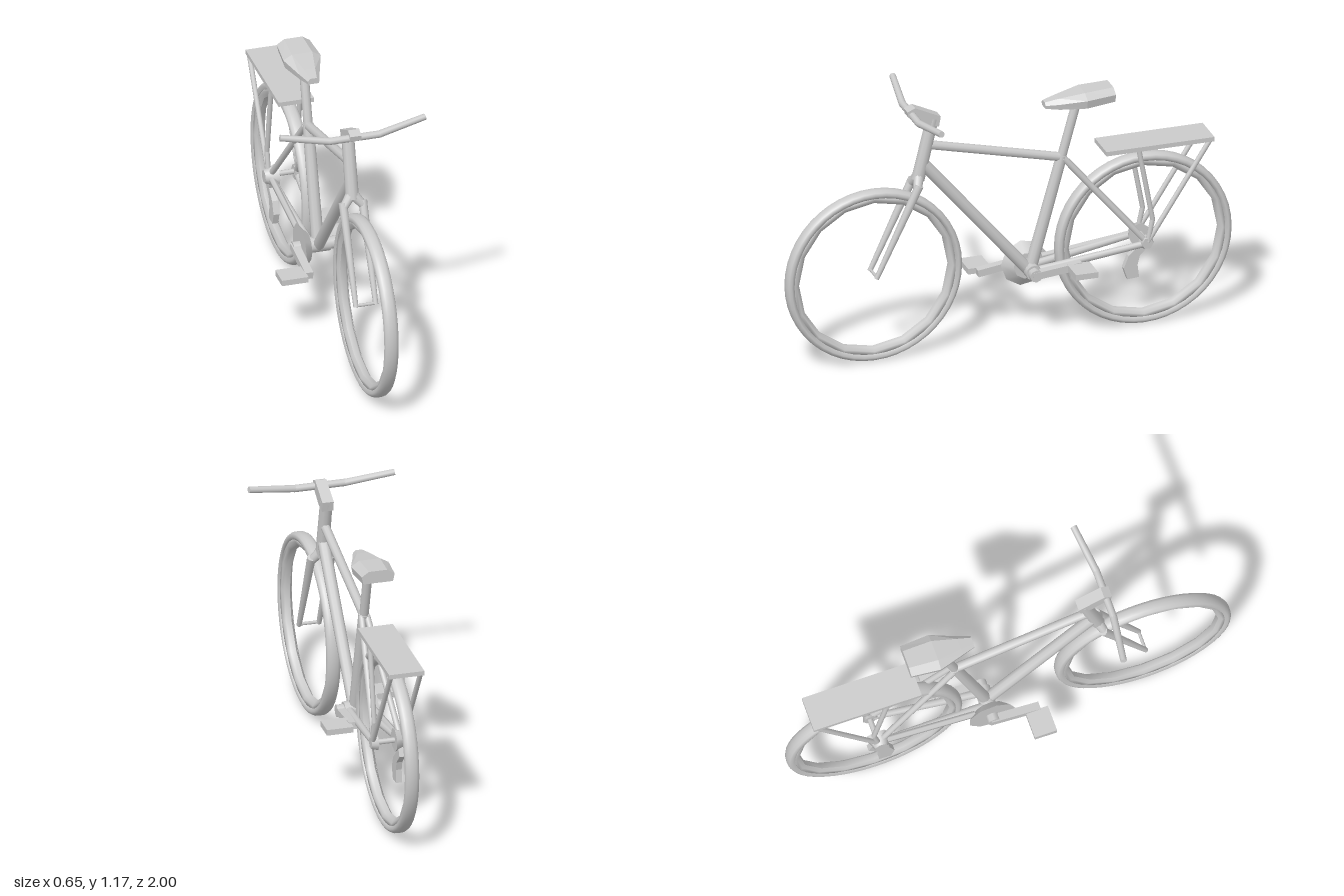
import * as THREE from 'three';

const material = new THREE.MeshStandardMaterial({ color: 0xcccccc });
const flatMaterial = new THREE.MeshStandardMaterial({ color: 0xcccccc, flatShading: true });

export function createModel() {
  const bike = new THREE.Group();
  bike.name = 'bicycle';

  const add = (name, geometry, mat = material) => {
    const mesh = new THREE.Mesh(geometry, mat);
    mesh.name = name;
    bike.add(mesh);
    return mesh;
  };

  // Straight, optionally tapered tube between two points
  const tube = (name, from, to, r1, r2 = r1, sides = 10) => {
    const a = new THREE.Vector3(...from), b = new THREE.Vector3(...to);
    const dir = b.clone().sub(a);
    const mesh = add(name, new THREE.CylinderGeometry(r2, r1, dir.length(), sides));
    mesh.position.copy(a).add(b).multiplyScalar(0.5);
    mesh.quaternion.setFromUnitVectors(new THREE.Vector3(0, 1, 0), dir.normalize());
    return mesh;
  };

  const box = (name, size, position, tilt = 0) => {
    const mesh = add(name, new THREE.BoxGeometry(...size), flatMaterial);
    mesh.position.set(...position);
    mesh.rotation.x = tilt;
    return mesh;
  };

  // Flat plate drawn in (z, y), extruded in x and centred on the given x
  const plate = (name, points, x, depth) => {
    const shape = new THREE.Shape(points.map(p => new THREE.Vector2(...p)));
    const geometry = new THREE.ExtrudeGeometry(shape, { depth, bevelEnabled: false });
    geometry.rotateY(-Math.PI / 2).translate(x + depth / 2, 0, 0);
    return add(name, geometry, flatMaterial);
  };

  // Wheels: rounded tyre and coarser rim, turned about the axle
  const ring = (name, profile, segments, z) => {
    const points = [...profile, profile[0]].map(p => new THREE.Vector2(...p));
    const geometry = new THREE.LatheGeometry(points, segments).rotateZ(-Math.PI / 2);
    add(name, geometry).position.set(0, 0.397, z);
  };
  const tyre = [[0.362, -0.026], [0.376, -0.032], [0.387, -0.027], [0.394, -0.015],
    [0.395, 0], [0.394, 0.015], [0.387, 0.027], [0.376, 0.032], [0.362, 0.026]];
  const rim = [[0.337, -0.012], [0.352, -0.022], [0.368, -0.024],
    [0.368, 0.024], [0.352, 0.022], [0.337, 0.012]];
  for (const [name, z] of [['front', 0.605], ['rear', -0.605]]) {
    ring(name + 'Tyre', tyre, 48, z);
    ring(name + 'Rim', rim, 16, z);
  }

  // Main frame
  tube('headTube', [0, 0.81, 0.405], [0, 1.09, 0.338], 0.029, 0.027);
  tube('topTube', [0, 0.965, 0.355], [0, 0.82, -0.245], 0.02);
  tube('downTube', [0, 0.885, 0.385], [0, 0.32, -0.09], 0.026);
  tube('seatTube', [0, 0.32, -0.1], [0, 0.83, -0.242], 0.027, 0.024);
  tube('seatPost', [0, 0.82, -0.24], [0, 1.085, -0.313], 0.02);
  tube('bottomBracket', [-0.05, 0.32, -0.1], [0.05, 0.32, -0.1], 0.035);

  // Paired fork legs, stays and rack struts
  for (const s of [-1, 1]) {
    tube('forkCrown', [0, 0.835, 0.4], [s * 0.044, 0.78, 0.422], 0.024, 0.018);
    tube('forkLeg', [s * 0.044, 0.8, 0.413], [s * 0.044, 0.395, 0.605], 0.019, 0.011);
    tube('seatStay', [s * 0.012, 0.82, -0.245], [s * 0.058, 0.405, -0.595], 0.014, 0.013);
    tube('chainStay', [s * 0.03, 0.32, -0.1], [s * 0.058, 0.39, -0.6], 0.018, 0.014);
    tube('rearDropout', [s * 0.045, 0.395, -0.602], [s * 0.075, 0.395, -0.602], 0.034, 0.026, 6);
    tube('rackStrut', [s * 0.066, 0.4, -0.605], [s * 0.066, 0.835, -0.885], 0.011);
    tube('rackStrut', [s * 0.066, 0.835, -0.565], [s * 0.066, 0.5, -0.627], 0.011);
    tube('rackStrut', [s * 0.066, 0.505, -0.627], [s * 0.066, 0.41, -0.607], 0.011);
    // Swept handlebar halves
    tube('handlebar', [0, 1.122, 0.437], [s * 0.115, 1.122, 0.437], 0.016);
    tube('handlebarGrip', [s * 0.11, 1.122, 0.437], [s * 0.322, 1.157, 0.408], 0.016, 0.014);
  }
  tube('frontAxle', [-0.045, 0.4, 0.603], [0.045, 0.4, 0.603], 0.007, 0.007, 6);
  tube('rearAxle', [-0.06, 0.397, -0.605], [0.06, 0.397, -0.605], 0.012, 0.012, 8);

  // Stem, clamped to the head tube and the handlebar
  plate('stem', [[0.31, 1.1], [0.318, 1.055], [0.37, 1.065], [0.455, 1.115],
    [0.46, 1.14], [0.425, 1.155]], 0, 0.05);

  // Saddle: sections from nose to tail as [z, half width, bottom, side, top]
  const sections = [[-0.16, 0.026, 1.066, 1.08, 1.092], [-0.22, 0.045, 1.06, 1.085, 1.105],
    [-0.33, 0.083, 1.064, 1.102, 1.124], [-0.46, 0.073, 1.074, 1.108, 1.13]];
  const vertices = [], faces = [];
  for (const [z, w, low, side, top] of sections) {
    vertices.push(w * 0.9, low, z, w, side, z, w * 0.55, top, z,
      -w * 0.55, top, z, -w, side, z, -w * 0.9, low, z);
  }
  const last = (sections.length - 1) * 6;
  for (let k = 0; k < last; k += 6) {
    for (let i = 0; i < 6; i++) {
      const a = k + i, b = k + (i + 1) % 6;
      faces.push(a, a + 6, b, b, a + 6, b + 6);
    }
  }
  for (let i = 1; i < 5; i++) faces.push(0, i, i + 1, last, last + i + 1, last + i);
  const saddle = new THREE.BufferGeometry();
  saddle.setAttribute('position', new THREE.Float32BufferAttribute(vertices, 3));
  saddle.setIndex(faces);
  saddle.computeVertexNormals();
  add('saddle', saddle, flatMaterial);

  // Luggage rack plate
  box('rackPlate', [0.156, 0.02, 0.485], [0, 0.84, -0.658]);

  // Chainring, cranks and pedals
  tube('chainring', [-0.042, 0.316, -0.1], [-0.08, 0.316, -0.1], 0.06, 0.105, 9);
  for (const [side, hubX, armX, pedalX, end, endY] of [
    ['right', -0.09, -0.1, -0.172, 0.09, 0.292], ['left', 0.06, 0.066, 0.133, -0.29, 0.338]]) {
    const hub = new THREE.Vector2(-0.1, 0.318), tip = new THREE.Vector2(end, endY);
    const run = tip.clone().sub(hub);
    const middle = hub.clone().add(tip).multiplyScalar(0.5);
    box(side + 'Crank', [0.036, 0.032, run.length() + 0.03], [armX, middle.y, middle.x],
      -Math.atan(run.y / run.x));
    tube(side + 'CrankHub', [hubX - 0.022, hub.y, hub.x], [hubX + 0.022, hub.y, hub.x], 0.028, 0.028, 8);
    box(side + 'Pedal', [0.118, 0.026, 0.1], [pedalX, endY, end]);
  }

  // Rear sprocket, chain run and gear changer on the right side
  tube('sprocket', [-0.03, 0.395, -0.6], [-0.088, 0.395, -0.6], 0.052, 0.03, 7);
  tube('chain', [-0.06, 0.345, -0.17], [-0.06, 0.395, -0.6], 0.014, 0.014, 6);
  plate('gearChanger', [[-0.585, 0.38], [-0.6, 0.335], [-0.555, 0.295], [-0.533, 0.24],
    [-0.55, 0.188], [-0.602, 0.192], [-0.595, 0.25], [-0.605, 0.29], [-0.65, 0.335],
    [-0.635, 0.37]], -0.052, 0.026);

  return bike;
}
